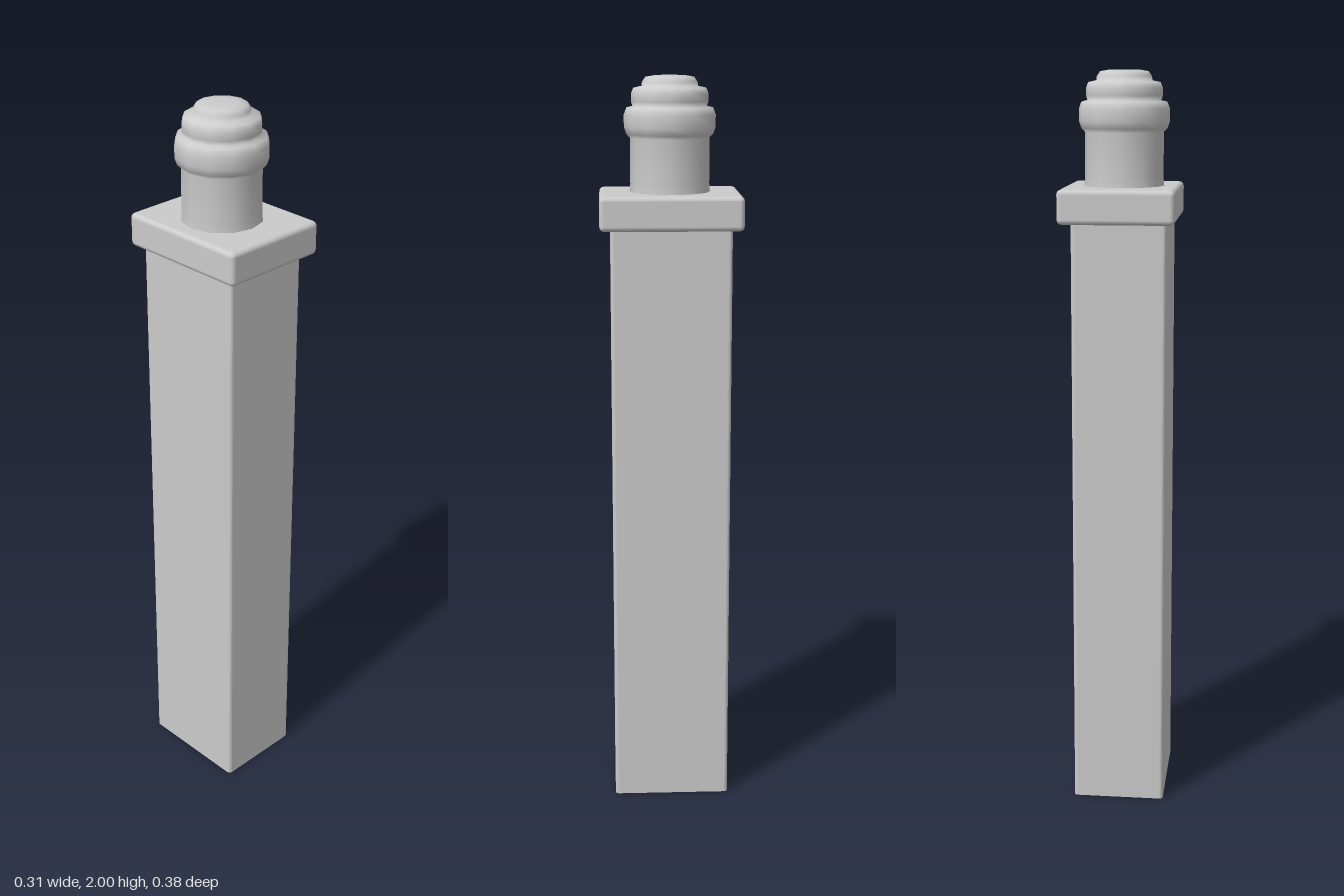
import * as THREE from 'three';
import { RoundedBoxGeometry } from 'three/addons/geometries/RoundedBoxGeometry.js';

const material = new THREE.MeshStandardMaterial({ color: 0xcccccc });

// Rectangle with rounded corners, centred on the origin
function roundedRect(w, d, r) {
  const x = w / 2, y = d / 2, s = new THREE.Shape();
  s.absarc(x - r, y - r, r, 0, Math.PI / 2);
  s.absarc(-x + r, y - r, r, Math.PI / 2, Math.PI);
  s.absarc(-x + r, -y + r, r, Math.PI, Math.PI * 1.5);
  s.absarc(x - r, -y + r, r, Math.PI * 1.5, Math.PI * 2);
  s.closePath();
  return s;
}

export function createModel() {
  const group = new THREE.Group();
  const add = (name, geometry, x, y) => {
    const mesh = new THREE.Mesh(geometry, material);
    mesh.name = name;
    mesh.position.set(x, y, 0);
    group.add(mesh);
  };

  // Tall stack with softened upright edges
  const stack = new THREE.ExtrudeGeometry(roundedRect(0.25, 0.32, 0.01), {
    depth: 1.63, bevelEnabled: false, curveSegments: 3,
  });
  stack.rotateX(-Math.PI / 2);
  add('stack', stack, -0.005, 0);

  // Overhanging slab
  add('capSlab', new RoundedBoxGeometry(0.306, 0.09, 0.376, 2, 0.013), 0, 1.655);

  // Twelve-sided pot: neck, bulging collar, smaller ring and domed lid
  const profile = [
    [0.108, 1.69], [0.105, 1.72], [0.105, 1.84], [0.115, 1.85], [0.121, 1.868],
    [0.121, 1.9], [0.114, 1.918], [0.098, 1.922], [0.102, 1.934], [0.102, 1.953],
    [0.096, 1.968], [0.074, 1.973], [0.073, 1.983], [0.064, 1.996], [0.04, 2], [0, 2],
  ].map(([r, y]) => new THREE.Vector2(r, y));
  add('chimneyPot', new THREE.LatheGeometry(profile, 12), -0.005, 0);

  return group;
}
